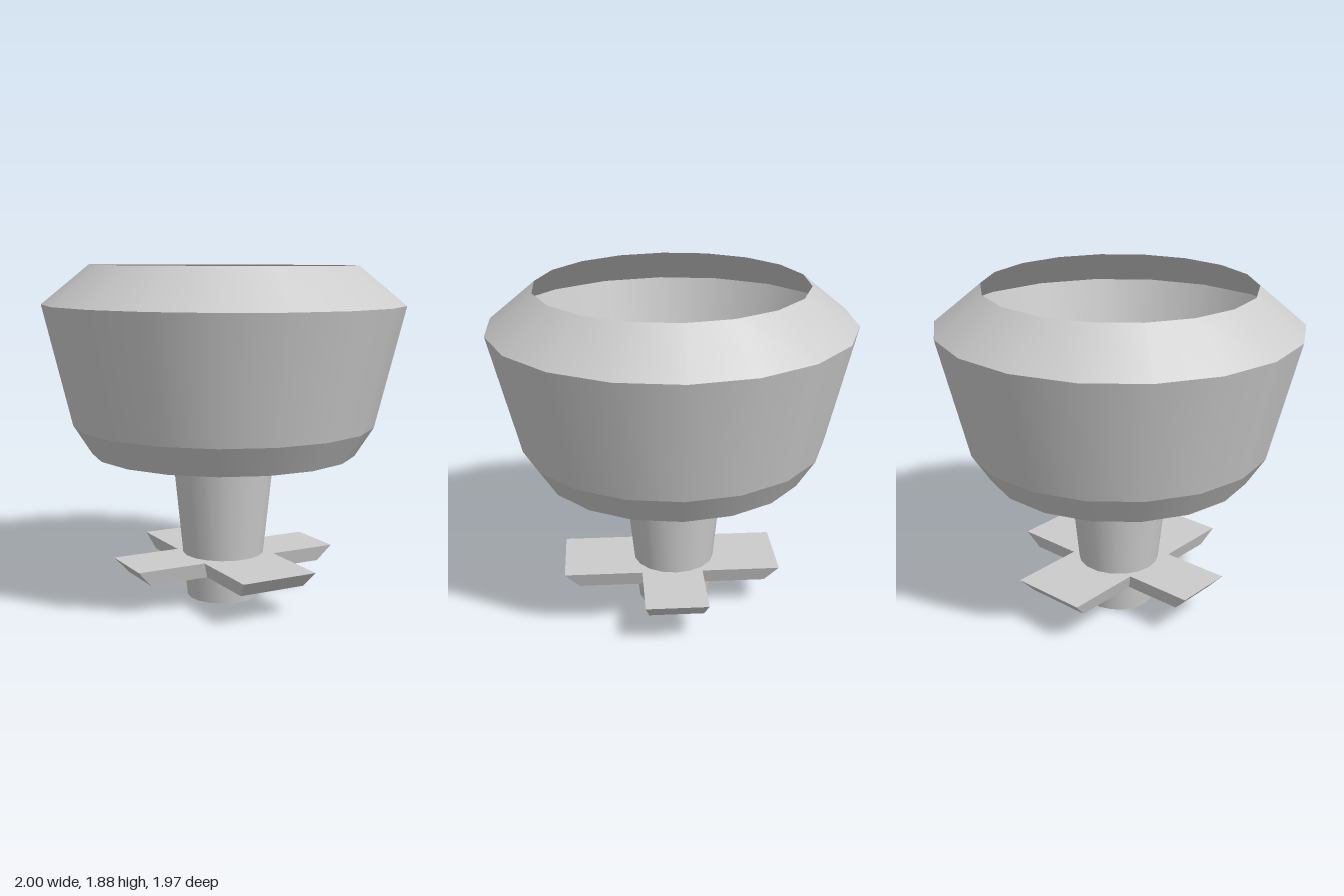
import * as THREE from 'three';

const material = new THREE.MeshStandardMaterial({ color: 0xcccccc, side: THREE.DoubleSide });
const SIDES = 18;

// One smooth ring between two [radius, height] points; separate rings keep creases sharp
function ring(name, a, b) {
  const points = [new THREE.Vector2(...a), new THREE.Vector2(...b)];
  const mesh = new THREE.Mesh(new THREE.LatheGeometry(points, SIDES, Math.PI / 2), material);
  mesh.name = name;
  return mesh;
}

// Four-armed plate: wide arms along z, narrower arms along x, all sides tapering downwards
function crossPlate() {
  const top = { reach: 0.612, x: 0.22, z: 0.172 };
  const low = { reach: 0.532, x: 0.192, z: 0.15 };
  const { reach: r, x: w, z: d } = top;
  const outline = [
    [w, d], [w, r], [-w, r], [-w, d], [-r, d], [-r, -d],
    [-w, -d], [-w, -r], [w, -r], [w, -d], [r, -d], [r, d],
  ].map(([x, y]) => new THREE.Vector2(x, y));
  const geometry = new THREE.ExtrudeGeometry(new THREE.Shape(outline), { depth: 0.088, bevelEnabled: false });
  geometry.rotateX(-Math.PI / 2);

  // Draw the lower outline inwards
  const p = geometry.attributes.position;
  for (let i = 0; i < p.count; i++) {
    if (p.getY(i) > 0.04) continue;
    const x = p.getX(i), z = p.getZ(i);
    p.setX(i, Math.sign(x) * (Math.abs(x) > 0.4 ? low.reach : low.x));
    p.setZ(i, Math.sign(z) * (Math.abs(z) > 0.4 ? low.reach : low.z));
  }
  geometry.computeVertexNormals();

  const mesh = new THREE.Mesh(geometry, material);
  mesh.name = 'crossPlate';
  mesh.position.set(0, 0.164, 0.012);
  return mesh;
}

export function createModel() {
  const model = new THREE.Group();
  model.name = 'cupOnStem';

  // Thin turned shell, from the foot up through the raised floor to the open rim
  const profile = [
    ['stemFoot', [0, 0], [0.205, 0]],
    ['stem', [0.205, 0], [0.305, 0.98]],
    ['raisedFloor', [0.305, 0.98], [0.56, 0.98]],
    ['floorStep', [0.56, 0.98], [0.65, 0.835]],
    ['baseRing', [0.65, 0.835], [0.738, 0.835]],
    ['lowerChamfer', [0.738, 0.835], [0.84, 0.995]],
    ['cupWall', [0.84, 0.995], [1, 1.66]],
    ['shoulder', [1, 1.66], [0.742, 1.872]],
  ];
  const shell = new THREE.Group();
  shell.name = 'shell';
  for (const [name, a, b] of profile) shell.add(ring(name, a, b));

  // The shell leans forward very slightly
  shell.rotation.x = 0.007;
  shell.position.z = -0.011;

  model.add(shell, crossPlate());
  return model;
}
